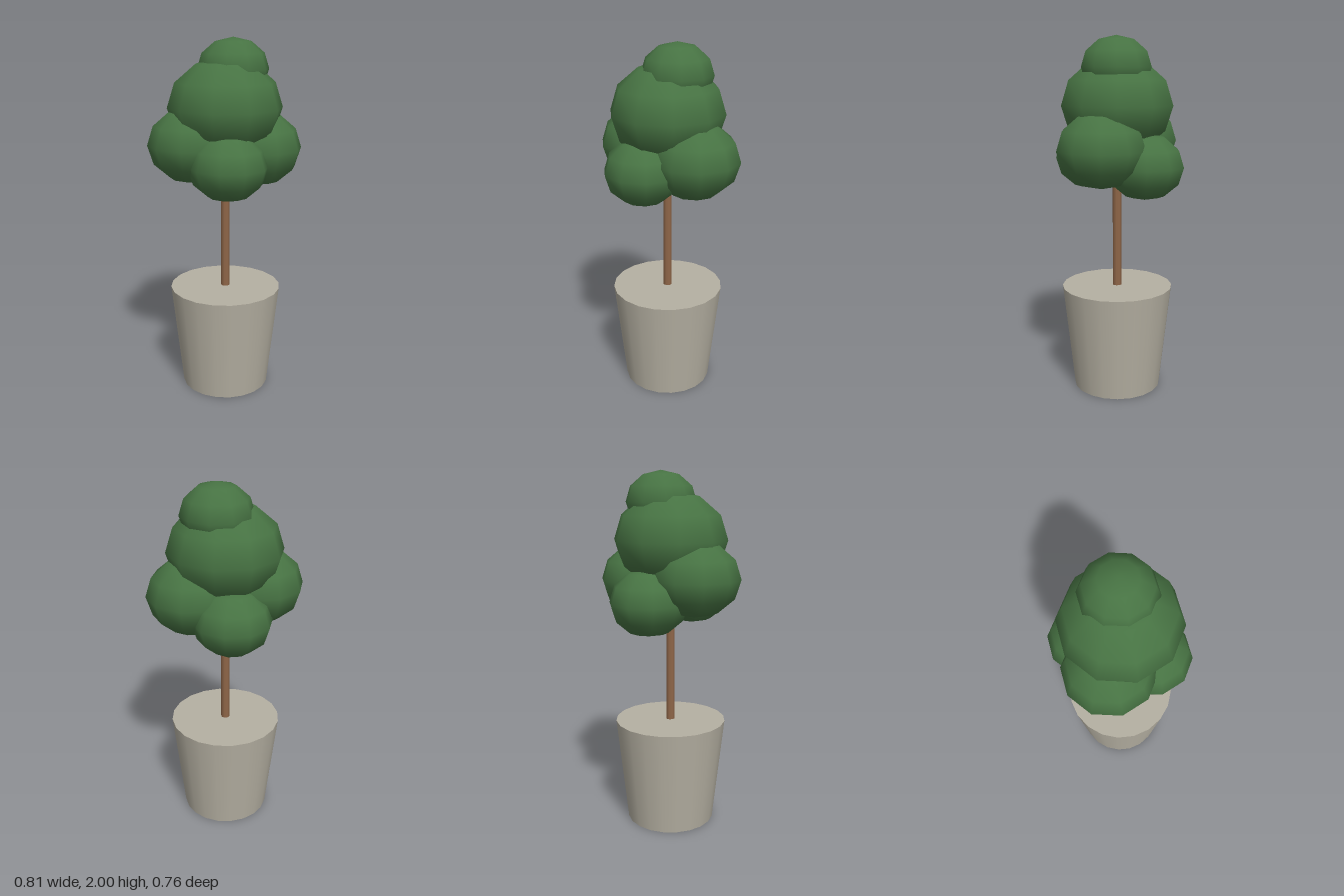
import * as THREE from 'three';

const flat = (name, color) => {
  const m = new THREE.MeshStandardMaterial({ color });
  m.name = name;
  return m;
};

export function createModel() {
  const stone = flat('stone', 0xb5b0a2);
  const bark = flat('bark', 0x8f6648);
  const leaf = flat('leaf', 0x477343);

  const tree = new THREE.Group();
  tree.name = 'pottedTree';
  const add = (name, geometry, material, x, y, z, parent = tree) => {
    const mesh = new THREE.Mesh(geometry, material);
    mesh.name = name;
    mesh.position.set(x, y, z);
    parent.add(mesh);
    return mesh;
  };

  // Tapered, closed pot and slim trunk
  add('pot', new THREE.CylinderGeometry(0.315, 0.25, 0.6, 20), stone, 0, 0.3, 0);
  add('trunk', new THREE.CylinderGeometry(0.025, 0.025, 0.9, 8), bark, 0, 1.05, 0);

  // Crown: overlapping, slightly flattened low-poly balls [name, radius, x, y, z]
  const crown = new THREE.Group();
  crown.name = 'crown';
  tree.add(crown);
  const clumps = [
    ['mainFoliage', 0.317, 0, 1.63, 0],
    ['topFoliage', 0.197, 0.035, 1.833, -0.04],
    ['rightFoliage', 0.248, -0.169, 1.43, 0.065],
    ['leftFoliage', 0.248, 0.166, 1.4, -0.084],
    ['frontFoliage', 0.218, 0.05, 1.335, 0.162],
    ['backFoliage', 0.218, -0.067, 1.302, -0.165],
  ];
  for (const [name, r, x, y, z] of clumps) {
    const ball = new THREE.SphereGeometry(r, 10, 6, Math.PI / 2);
    ball.scale(1, 0.85, 1);
    add(name, ball, leaf, x, y, z, crown);
  }
  return tree;
}
